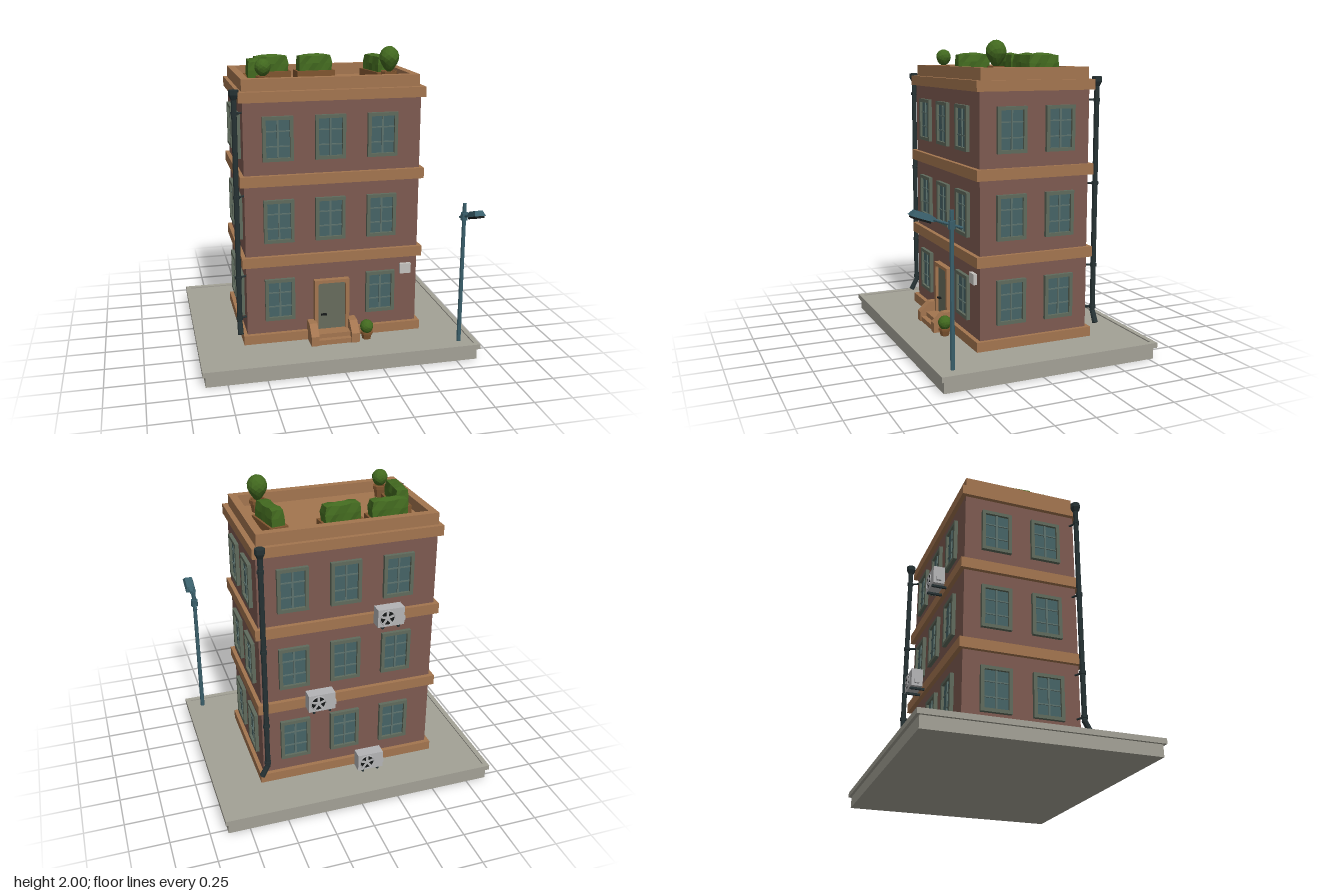
import * as THREE from 'three';

const mats = {};
const mat = (color) => (mats[color] ??= new THREE.MeshStandardMaterial({ color, flatShading: true }));
const WALL = 0x7d5a50, TRIM = 0xa3754f, STONE = 0xa3a196, FRAME = 0x5f6a5c, GLASS = 0x466366, BAR = 0x5c716c,
  PIPE = 0x263234, LAMP = 0x3a5f6b, LEAF = 0x42691f, WOOD = 0x80552f, METAL = 0xb4b4b6, DARK = 0x151818;

function add(parent, name, geo, color, x = 0, y = 0, z = 0) {
  const m = new THREE.Mesh(geo, mat(color));
  m.name = name;
  m.position.set(x, y, z);
  parent.add(m);
  return m;
}
function group(parent, name, x = 0, y = 0, z = 0, ry = 0) {
  const g = new THREE.Group();
  g.name = name;
  g.position.set(x, y, z);
  g.rotation.y = ry;
  parent.add(g);
  return g;
}
// Box given by its extents along each axis
function box(parent, name, color, x0, x1, y0, y1, z0, z1) {
  return add(parent, name, new THREE.BoxGeometry(x1 - x0, y1 - y0, z1 - z0), color,
    (x0 + x1) / 2, (y0 + y1) / 2, (z0 + z1) / 2);
}
// Round bar from point a to point b
function rod(parent, name, color, a, b, rA, rB = rA, sides = 8) {
  const p = new THREE.Vector3(...a), q = new THREE.Vector3(...b), d = q.clone().sub(p);
  const m = add(parent, name, new THREE.CylinderGeometry(rB, rA, d.length(), sides), color);
  m.position.copy(p).add(q).multiplyScalar(0.5);
  m.quaternion.setFromUnitVectors(new THREE.Vector3(0, 1, 0), d.normalize());
  return m;
}
const rect = (T, x0, x1, z0, z1) => new T([[x0, -z1], [x1, -z1], [x1, -z0], [x0, -z0]].map(p => new THREE.Vector2(...p)));
// Rectangular rim with an open middle
function rim(parent, name, color, x0, x1, z0, z1, t, y0, y1) {
  const s = rect(THREE.Shape, x0, x1, z0, z1);
  s.holes.push(rect(THREE.Path, x0 + t, x1 - t, z0 + t, z1 - t));
  const g = new THREE.ExtrudeGeometry(s, { depth: y1 - y0, bevelEnabled: false }).rotateX(-Math.PI / 2);
  return add(parent, name, g, color, 0, y0, 0);
}
// Repeatable wobble based on position, so shared corners stay joined
const wobble = (x, y, z) => Math.sin(x * 91.7 + y * 57.3 + z * 73.1 + 1.3);

function addWindow(parent, x, y, z, ry) {
  const g = group(parent, 'window', x, y, z, ry), w = 0.098, h = 0.142, t = 0.022;
  const s = new THREE.Shape([[-w, -h], [w, -h], [w, h], [-w, h]].map(p => new THREE.Vector2(...p)));
  s.holes.push(new THREE.Path([[-w + t, -h + t], [w - t, -h + t], [w - t, h - t], [-w + t, h - t]].map(p => new THREE.Vector2(...p))));
  add(g, 'windowFrame', new THREE.ExtrudeGeometry(s, { depth: 0.03, bevelEnabled: false }), FRAME, 0, 0, -0.006);
  box(g, 'windowGlass', GLASS, -w + t, w - t, -h + t, h - t, -0.006, 0.007);
  box(g, 'windowUpright', BAR, -0.006, 0.006, -h + t, h - t, 0, 0.015);
  for (const yy of [-0.048, 0.048]) box(g, 'windowCrossbar', BAR, -w + t, w - t, yy - 0.004, yy + 0.004, 0, 0.013);
}

function addBush(parent, name, x, y, z, r, tall, taper) {
  const geo = new THREE.IcosahedronGeometry(1, 2), p = geo.attributes.position;
  for (let i = 0; i < p.count; i++) {
    const [a, b, c] = [p.getX(i), p.getY(i), p.getZ(i)];
    const k = r * (1 + 0.025 * wobble(a, b, c)) * (b < 0.1 ? 1 + taper * (b - 0.1) : 1);
    p.setXYZ(i, a * k, b * tall, c * k);
  }
  geo.computeVertexNormals();
  add(parent, name, geo, LEAF, x, y, z);
}
function addPot(parent, x, y, z, r, h) {
  const pts = [[0, 0], [r * 0.7, 0], [r * 0.88, h * 0.72], [r, h * 0.72], [r, h], [r * 0.8, h], [r * 0.75, h * 0.8], [0, h * 0.8]];
  add(parent, 'plantPot', new THREE.LatheGeometry(pts.map(p => new THREE.Vector2(...p)), 8), WOOD, x, y, z);
}
// Long planter with a clipped hedge
function addPlanter(parent, x, z, ry) {
  const g = group(parent, 'planter', x, 1.76, z, ry);
  rim(g, 'planterBox', WOOD, -0.133, 0.133, -0.058, 0.058, 0.014, 0, 0.05);
  box(g, 'planterSoil', 0x4a3526, -0.12, 0.12, 0, 0.038, -0.046, 0.046);
  const geo = new THREE.BoxGeometry(0.23, 0.125, 0.085, 5, 2, 2), p = geo.attributes.position;
  for (let i = 0; i < p.count; i++) {
    const [a, b, c] = [p.getX(i), p.getY(i), p.getZ(i)];
    const edge = b > 0.05 && (Math.abs(c) > 0.04 || Math.abs(a) > 0.11), n = wobble(a, b, c);
    p.setXYZ(i, a * (edge ? 0.95 : 1) + n * 0.005, b - (edge ? 0.012 : 0) + n * 0.003, c * (edge ? 0.84 : 1) + n * 0.004);
  }
  geo.computeVertexNormals();
  add(g, 'hedge', geo, LEAF, 0, 0.097, 0);
}

// Downpipe: w points to the wall, s is the way the spout turns
function addDownpipe(parent, x, z, w, s) {
  const g = group(parent, 'downpipe', x, 0, z);
  const at = (y, a, b) => [w[0] * a + s[0] * b, y, w[1] * a + s[1] * b];
  rod(g, 'pipe', PIPE, at(0.25, 0, 0), at(1.74, 0, 0), 0.017);
  rod(g, 'spout', PIPE, at(0.265, 0, -0.003), at(0.185, 0, 0.04), 0.017, 0.019);
  rod(g, 'funnelNeck', PIPE, at(1.715, 0, 0), at(1.745, 0, 0), 0.018, 0.032);
  rod(g, 'funnelRim', PIPE, at(1.745, 0, 0), at(1.775, 0, 0), 0.032);
  for (const y of [0.283, 0.565, 1.1, 1.63]) {
    rod(g, 'collar', PIPE, at(y - 0.01, 0, 0), at(y + 0.01, 0, 0), 0.022);
    rod(g, 'wallClamp', PIPE, at(y, 0, 0), at(y, 0.065, -0.03), 0.007, 0.007, 6);
  }
}

function addAirUnit(parent, x, y) {
  const g = group(parent, 'airConditioner', x, y, -0.55, Math.PI);
  box(g, 'airUnitCase', METAL, -0.087, 0.087, 0.014, 0.132, -0.04, 0.035);
  const fx = -0.025, fy = 0.073;
  const disc = (name, r, d, c) => rod(g, name, c, [fx, fy, 0.03], [fx, fy, 0.035 + d], r, r, 16);
  disc('fanOpening', 0.048, 0.001, DARK);
  add(g, 'fanRing', new THREE.TorusGeometry(0.048, 0.004, 5, 18), METAL, fx, fy, 0.036);
  for (let i = 0; i < 5; i++) {
    const b = add(g, 'fanBlade', new THREE.BoxGeometry(0.016, 0.036, 0.003).translate(0, 0.026, 0), METAL, fx, fy, 0.037);
    b.rotation.z = i * Math.PI * 0.4;
  }
  disc('fanHub', 0.012, 0.005, METAL);
  for (const sx of [-0.052, 0.052]) box(g, 'airUnitBracket', PIPE, sx - 0.007, sx + 0.007, 0, 0.014, -0.09, 0.035);
  box(g, 'airUnitValve', METAL, 0.087, 0.102, 0.03, 0.06, -0.015, 0.015);
}

export function createModel() {
  const root = new THREE.Group();
  root.name = 'townHouse';

  // Paved base with a raised kerb
  box(root, 'baseBlock', STONE, -0.888, 0.888, 0, 0.075, -0.782, 0.638);
  rim(root, 'kerb', STONE, -0.905, 0.905, -0.8, 0.655, 0.033, 0.075, 0.108);
  box(root, 'pavement', STONE, -0.875, 0.875, 0.07, 0.1, -0.77, 0.625);

  // Walls, floor bands and roof
  const zc = -0.09, hx = 0.574, hz = 0.371;
  box(root, 'walls', WALL, -hx, hx, 0.1, 1.72, zc - hz, zc + hz);
  for (const [y0, y1] of [[0.1, 0.162], [0.63, 0.697], [1.163, 1.232], [1.695, 1.76]])
    box(root, 'floorBand', TRIM, -0.601, 0.599, y0, y1, -0.489, 0.31);
  rim(root, 'parapet', TRIM, -0.576, 0.566, -0.46, 0.272, 0.05, 1.76, 1.835);

  // Windows on all four sides; the middle one at street level makes way for the door
  [0.395, 0.928, 1.463].forEach((y, floor) => {
    for (const x of [-0.357, -0.021, 0.32]) {
      if (floor > 0 || x !== -0.021) addWindow(root, x, y, zc + hz, 0);
      addWindow(root, -x, y, zc - hz, Math.PI);
    }
    for (const z of [-0.255, 0.075])
      for (const s of [-1, 1]) addWindow(root, s * hx, y, z, s * Math.PI / 2);
  });

  // Door with its surround
  const entry = group(root, 'entrance', -0.014, 0, 0);
  const surround = new THREE.Shape([[-0.117, 0.1], [0.117, 0.1], [0.117, 0.511], [-0.117, 0.511]].map(p => new THREE.Vector2(...p)));
  const leaf = (T) => {
    const p = new T();
    p.moveTo(-0.093, 0.162).lineTo(0.093, 0.162).lineTo(0.093, 0.47).quadraticCurveTo(0.093, 0.49, 0.073, 0.49);
    p.lineTo(-0.073, 0.49).quadraticCurveTo(-0.093, 0.49, -0.093, 0.47);
    return p;
  };
  surround.holes.push(leaf(THREE.Path));
  const ext = (s, depth) => new THREE.ExtrudeGeometry(s, { depth, bevelEnabled: false, curveSegments: 4 });
  add(entry, 'doorSurround', ext(surround, 0.05), TRIM, 0, 0, 0.27);
  add(entry, 'door', ext(leaf(THREE.Shape), 0.03), 0x676c5c, 0, 0, 0.27);
  box(entry, 'doorHandle', DARK, -0.072, -0.035, 0.263, 0.272, 0.3, 0.318);

  // Steps between sloped side walls
  box(entry, 'upperStep', TRIM, -0.11, 0.11, 0.1, 0.162, 0.28, 0.385);
  box(entry, 'lowerStep', TRIM, -0.11, 0.11, 0.1, 0.133, 0.28, 0.42);
  const cheek = new THREE.Shape([[0.28, 0.1], [0.428, 0.1], [0.428, 0.165], [0.357, 0.23], [0.28, 0.23]].map(p => new THREE.Vector2(...p)));
  for (const x of [-0.109, 0.162]) add(entry, 'stepSideWall', ext(cheek, 0.053), TRIM, x).rotation.y = -Math.PI / 2;

  box(root, 'wallPlaque', 0xc4c2be, 0.455, 0.53, 0.51, 0.578, 0.275, 0.304);

  addDownpipe(root, -0.624, 0.283, [1, 0], [0, 1]);
  addDownpipe(root, 0.56, -0.524, [0, 1], [1, 0]);
  for (const [x, y] of [[-0.236, 1.165], [0.21, 0.635], [-0.128, 0.1]]) addAirUnit(root, x, y);

  // Roof garden and street plant
  for (const p of [[-0.297, -0.322, -0.02], [0.002, -0.307, 0.08], [0.413, -0.2, -1.38], [-0.446, -0.095, 1.5]]) addPlanter(root, ...p);
  addPot(root, 0.412, 1.76, 0.103, 0.055, 0.08);
  addBush(root, 'tallBush', 0.412, 1.915, 0.103, 0.067, 0.085, 0.45);
  addPot(root, -0.42, 1.76, 0.132, 0.045, 0.075);
  addBush(root, 'smallBush', -0.42, 1.888, 0.132, 0.052, 0.056, 0.15);
  addPot(root, 0.209, 0.1, 0.375, 0.042, 0.05);
  addBush(root, 'streetBush', 0.209, 0.183, 0.375, 0.045, 0.048, 0.15);

  // Street lamp
  const lamp = group(root, 'streetLamp', 0.794, 0, 0.547);
  rod(lamp, 'lampPost', LAMP, [0, 0.1, 0], [0, 1.046, 0], 0.015, 0.013);
  rod(lamp, 'lampCollar', LAMP, [0, 0.937, 0], [0, 0.985, 0], 0.024);
  const arm = group(lamp, 'lampArm', 0, 0.96, 0);
  arm.rotation.x = -0.34;
  rod(arm, 'armBar', LAMP, [0, 0, -0.07], [0, 0, 0.14], 0.008);
  const head = add(arm, 'lampHead', new THREE.CylinderGeometry(0.026, 0.036, 0.034, 4, 1).rotateY(Math.PI / 4), LAMP, 0, 0.005, 0.192);
  head.scale.set(1.38, 1, 2.7);
  rod(arm, 'headNeck', LAMP, [0, 0, 0.105], [0, 0, 0.14], 0.012, 0.022);
  box(arm, 'lampLens', DARK, -0.029, 0.029, -0.024, -0.01, 0.135, 0.25);
  return root;
}
